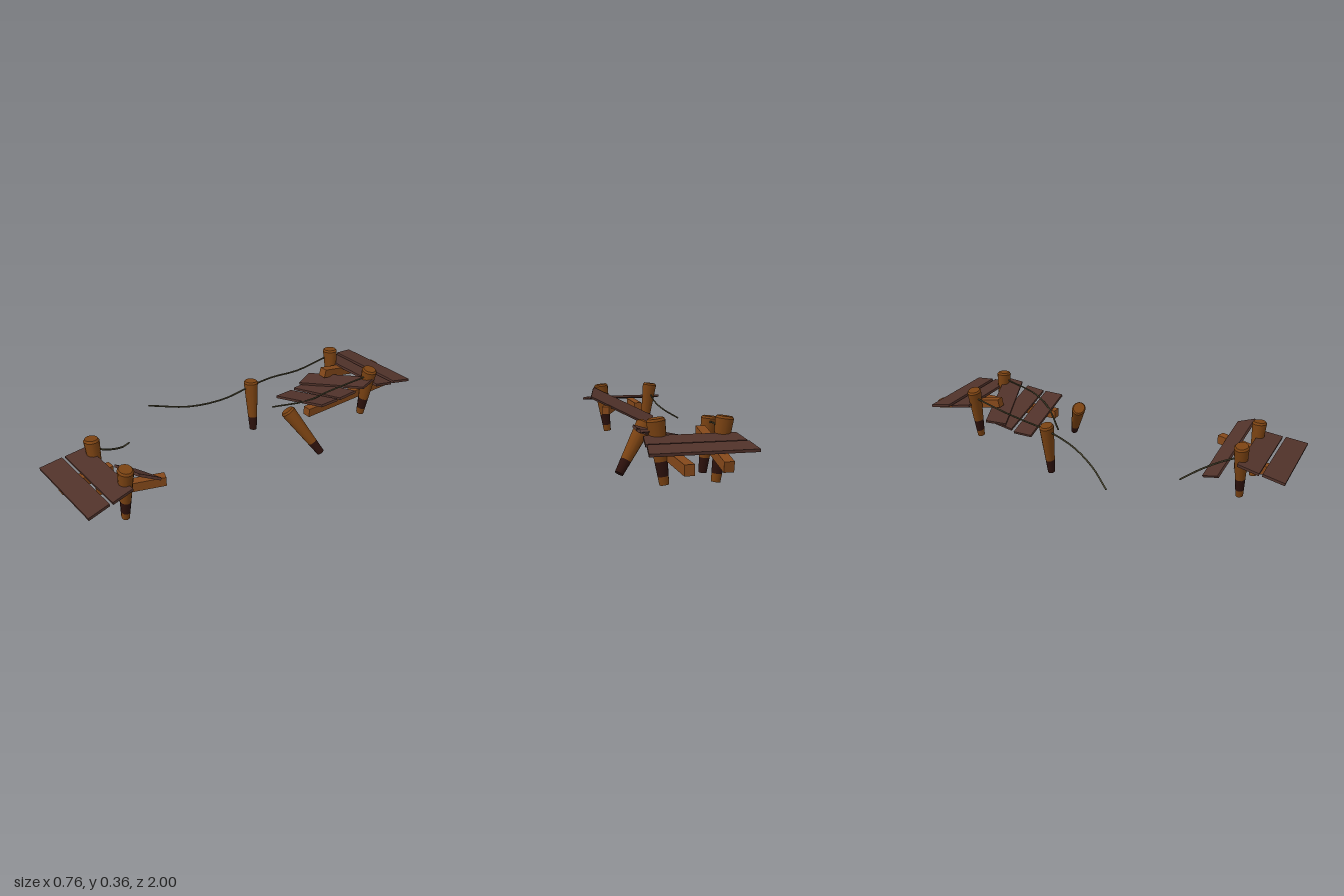
import * as THREE from 'three';

const mat = (name, color) => {
  const m = new THREE.MeshStandardMaterial({ color });
  m.name = name;
  return m;
};
const V = (p) => new THREE.Vector3(...p);

export function createModel() {
  const root = new THREE.Group();
  root.name = 'brokenBridge';
  const postWood = mat('post wood', 0x7a4212);
  const beamWood = mat('beam wood', 0x84481a);
  const plankWood = mat('plank wood', 0x50322a);
  const wetWood = mat('dark wet wood', 0x2c110c);
  const ropeFibre = mat('rope fibre', 0x45412c);

  const add = (parent, name, geometry, material) => {
    const mesh = new THREE.Mesh(geometry, material);
    mesh.name = name;
    parent.add(mesh);
    return mesh;
  };

  // Tapered post from bottom to top, with a dark band between two fractions of its height
  function post(name, bottom, top, bandLow, bandHigh) {
    const a = V(bottom), axis = V(top).sub(a), h = axis.length();
    const g = new THREE.Group();
    g.name = name;
    g.position.copy(a);
    g.quaternion.setFromUnitVectors(new THREE.Vector3(0, 1, 0), axis.normalize());
    const r = (t) => 0.021 + 0.021 * t;
    const piece = (label, points, material) => {
      const geo = new THREE.LatheGeometry(points.map(([x, y]) => new THREE.Vector2(x, y * h)), 12);
      geo.scale(1, 1, 0.87);
      add(g, label, geo, material);
    };
    const ring = (t) => [r(t), t];
    const foot = [[0, 0], ring(0)];
    if (bandLow > 0) piece('postFoot', [[0, 0], [r(0), 0], [r(0), 0], ring(bandLow)], postWood);
    piece('darkBand', bandLow > 0 ? [ring(bandLow), ring(bandHigh)]
      : [...foot, ring(0), ring(bandHigh)], wetWood);
    piece('postShaft', [ring(bandHigh), ring(0.965)], postWood);
    piece('postCap', [ring(0.965), [0.034, 1]], postWood);
    piece('postTop', [[0.034, 1], [0, 1]], postWood);
    root.add(g);
  }

  // Slab under four top corners: back left, front left, front right, back right
  function plank(name, corners, thick = 0.013) {
    const c = corners.map(V);
    const n = c[1].clone().sub(c[0]).cross(c[3].clone().sub(c[0])).normalize();
    const p = [...c, ...c.map((v) => v.clone().addScaledVector(n, -thick))];
    const quads = [[0, 1, 2, 3], [7, 6, 5, 4]];
    for (let i = 0; i < 4; i++) {
      const j = (i + 1) % 4;
      quads.push([i, i + 4, j + 4, j]);
    }
    const pts = quads.flatMap(([a, b, d, e]) => [a, b, d, a, d, e].map((i) => p[i]));
    const geo = new THREE.BufferGeometry().setFromPoints(pts);
    geo.computeVertexNormals();
    add(root, name, geo, plankWood);
  }

  // Square beam between two points
  function beam(name, from, to, w = 0.042, h = 0.045) {
    const a = V(from), b = V(to);
    const mesh = add(root, name, new THREE.BoxGeometry(w, h, a.distanceTo(b)), beamWood);
    mesh.position.copy(a).lerp(b, 0.5);
    mesh.lookAt(b);
  }

  function rope(name, points) {
    const path = new THREE.CurvePath();
    for (let i = 1; i < points.length; i++) path.add(new THREE.LineCurve3(V(points[i - 1]), V(points[i])));
    const curve = new THREE.CatmullRomCurve3(points.map(V), false, 'centripetal');
    add(root, name, new THREE.TubeGeometry(curve, 20, 0.0045, 6), ropeFibre);
    // closed rope ends
    for (const end of [points[0], points[points.length - 1]]) {
      add(root, 'ropeEnd', new THREE.SphereGeometry(0.0045, 6, 4), ropeFibre).position.set(...end);
    }
  }

  // Posts at both ends of the bridge
  for (const [side, z] of [['front', 0.77], ['back', -0.71]]) {
    post(side + 'RightPost', [0.017, 0.07, z], [-0.022, 0.35, z], 0.13, 0.36);
    post(side + 'LeftPost', [0.24, 0.07, z], [0.277, 0.35, z], 0.13, 0.36);
  }
  // Leaning and fallen posts in the middle
  post('leaningPost', [-0.07, 0.001, -0.214], [-0.103, 0.28, -0.218], 0, 0.27);
  post('fallenPost', [0.36, 0.037, -0.305], [0.212, 0.255, -0.197], 0, 0.25);

  // Outer deck planks, sloping down and widening towards each end
  const deck = (name, zIn, zOut, inner, outer, yIn, yOut) => {
    const row = (z, [l, r], y) => [[l, y, z], [r, y, z]];
    const rows = [row(zIn, inner, yIn), row(zOut, outer, yOut)];
    if (zIn > zOut) rows.reverse();
    const [[bl, br], [fl, fr]] = rows;
    plank(name, [bl, fl, fr, br]);
  };
  deck('frontInnerPlank', 0.77, 0.877, [-0.075, 0.33], [-0.087, 0.342], 0.28, 0.263);
  deck('frontOuterPlank', 0.892, 1.0, [-0.086, 0.342], [-0.096, 0.355], 0.264, 0.247);
  deck('backInnerPlank', -0.717, -0.82, [-0.07, 0.33], [-0.085, 0.342], 0.28, 0.263);
  deck('backOuterPlank', -0.837, -0.945, [-0.085, 0.34], [-0.096, 0.355], 0.264, 0.247);

  // Fallen plank at the front
  plank('frontLoosePlank', [[0.022, 0.125, 0.577], [-0.02, 0.165, 0.665], [0.325, 0.337, 0.732], [0.352, 0.292, 0.64]]);
  // Sagging planks at the back
  plank('backLoosePlank', [[-0.072, 0.212, -0.61], [-0.038, 0.2, -0.507], [0.322, 0.292, -0.62], [0.305, 0.308, -0.722]]);
  plank('saggingPlank', [[-0.03, 0.19, -0.578], [-0.04, 0.178, -0.472], [0.305, 0.272, -0.472], [0.31, 0.28, -0.578]]);
  plank('saggingEndPlank', [[-0.045, 0.168, -0.455], [-0.045, 0.168, -0.35], [0.3, 0.272, -0.35], [0.303, 0.272, -0.455]]);

  // Support beams
  beam('frontRightBeam', [0.06, 0.215, 0.725], [0.06, 0.215, 0.98]);
  beam('frontLeftBeam', [0.28, 0.215, 0.577], [0.2, 0.215, 0.8]);
  beam('backRightBeam', [0.052, 0.272, -0.592], [0.052, 0.192, -0.998]);
  beam('backLeftBeam', [0.21, 0.195, -0.335], [0.21, 0.188, -1.0]);

  // Ropes
  rope('longRope', [[-0.025, 0.31, -0.71], [-0.05, 0.272, -0.5], [-0.085, 0.265, -0.35], [-0.1, 0.25, -0.22],
    [-0.13, 0.212, -0.06], [-0.22, 0.18, 0.095], [-0.375, 0.168, 0.25]]);
  rope('backLeftRope', [[0.272, 0.31, -0.69], [0.225, 0.275, -0.47], [0.18, 0.235, -0.37], [0.055, 0.185, -0.24]]);
  rope('frontRope', [[-0.023, 0.29, 0.76], [-0.03, 0.25, 0.68], [-0.065, 0.21, 0.6], [-0.133, 0.168, 0.52]]);

  // Lathe outlines need consistent facing on thin rings
  for (const m of [postWood, wetWood]) m.side = THREE.DoubleSide;
  return root;
}
